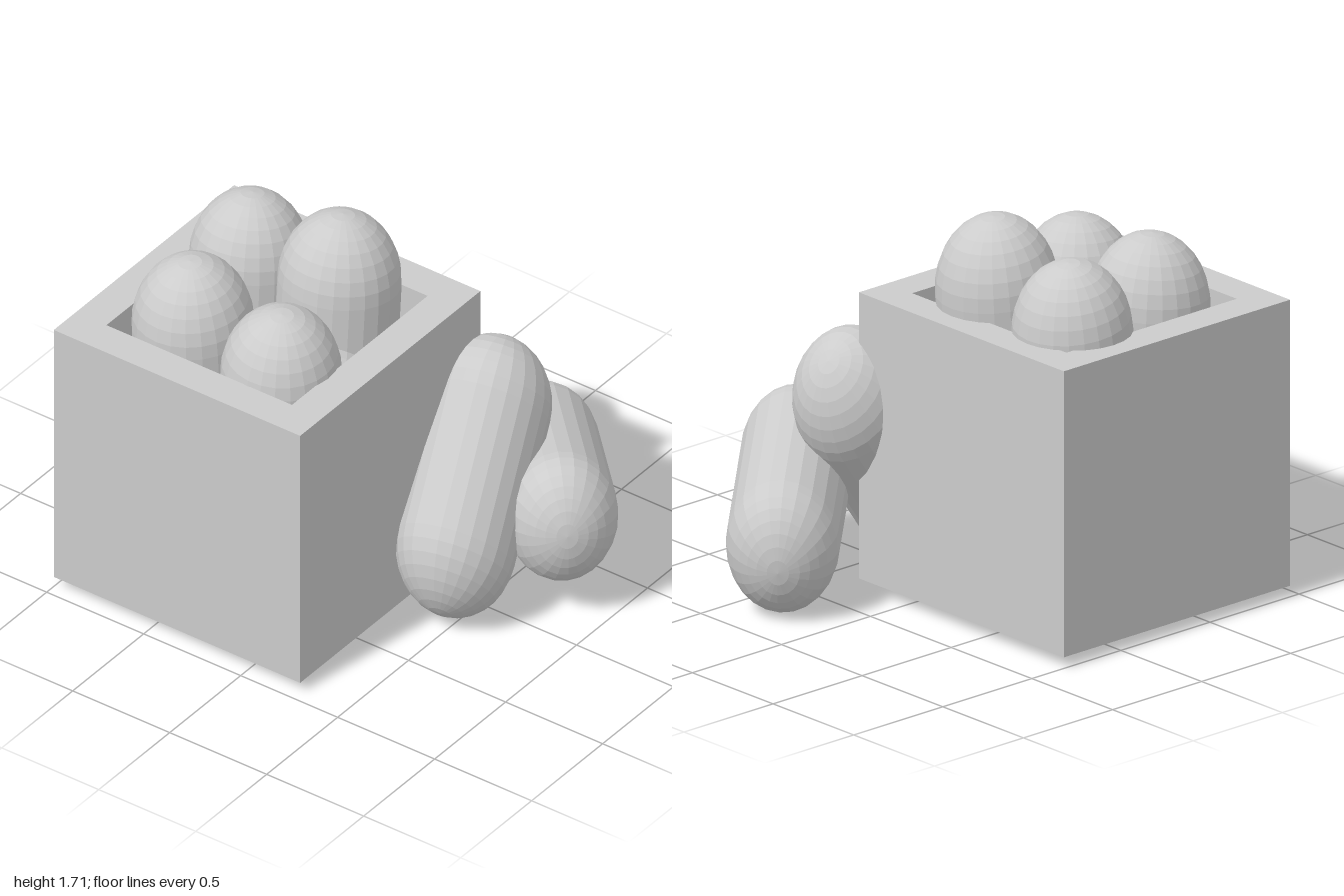
import * as THREE from 'three';

const material = new THREE.MeshStandardMaterial({ color: 0xcccccc, flatShading: true });
const STRETCH = 1.25; // all capsules are stretched vertically

function squareShape(Type, half) {
  return new Type([[-1, -1], [1, -1], [1, 1], [-1, 1]].map(([x, y]) => new THREE.Vector2(x * half, y * half)));
}

// Capsule between the centres of its two round ends, stretched upwards
function capsule(name, a, b, radius) {
  const start = new THREE.Vector3(...a);
  const end = new THREE.Vector3(...b);
  start.y /= STRETCH;
  end.y /= STRETCH;
  const axis = end.clone().sub(start);
  const geometry = new THREE.CapsuleGeometry(radius, axis.length(), 8, 24);
  const turn = new THREE.Quaternion().setFromUnitVectors(new THREE.Vector3(0, 1, 0), axis.normalize());
  const middle = start.add(end).multiplyScalar(0.5);
  geometry.applyQuaternion(turn).translate(middle.x, middle.y, middle.z).scale(1, STRETCH, 1);
  const mesh = new THREE.Mesh(geometry, material);
  mesh.name = name;
  return mesh;
}

export function createModel() {
  const model = new THREE.Group();
  model.name = 'crateWithCapsules';

  // Open crate: square walls around a floor
  const crate = new THREE.Group();
  crate.name = 'crate';
  const outline = squareShape(THREE.Shape, 0.635);
  outline.holes.push(squareShape(THREE.Path, 0.478));
  const walls = new THREE.Mesh(
    new THREE.ExtrudeGeometry(outline, { depth: 1.27, bevelEnabled: false }).rotateX(-Math.PI / 2), material);
  walls.name = 'crateWalls';
  const floor = new THREE.Mesh(new THREE.BoxGeometry(0.956, 0.15, 0.956).translate(0, 0.075, 0), material);
  floor.name = 'crateFloor';
  crate.add(walls, floor);
  crate.position.set(-0.365, 0.05, 0.315);
  model.add(crate);

  // Capsules standing in the crate
  [
    [[-0.64, 0.66, 0.1], [-0.655, 1.31, 0.04], 0.255],
    [[-0.2, 0.72, 0.08], [-0.2, 1.385, 0.03], 0.26],
    [[-0.58, 0.62, 0.5], [-0.59, 1.29, 0.53], 0.257],
    [[-0.15, 0.6, 0.52], [-0.12, 1.24, 0.55], 0.255],
  ].forEach(([a, b, r], i) => model.add(capsule(`standingCapsule${i + 1}`, a, b, r)));

  // Capsule lying below the others
  model.add(capsule('buriedCapsule', [-0.32, 0.86, 0.42], [-0.1, 0.92, 0.28], 0.25));

  // Capsules leaning against the crate outside
  model.add(capsule('leaningCapsule', [0.46, 0.335, 0.11], [0.365, 0.812, -0.27], 0.252));
  model.add(capsule('fallenCapsule', [0.303, 0.298, -0.717], [0.762, 0.444, -0.218], 0.238));

  return model;
}
